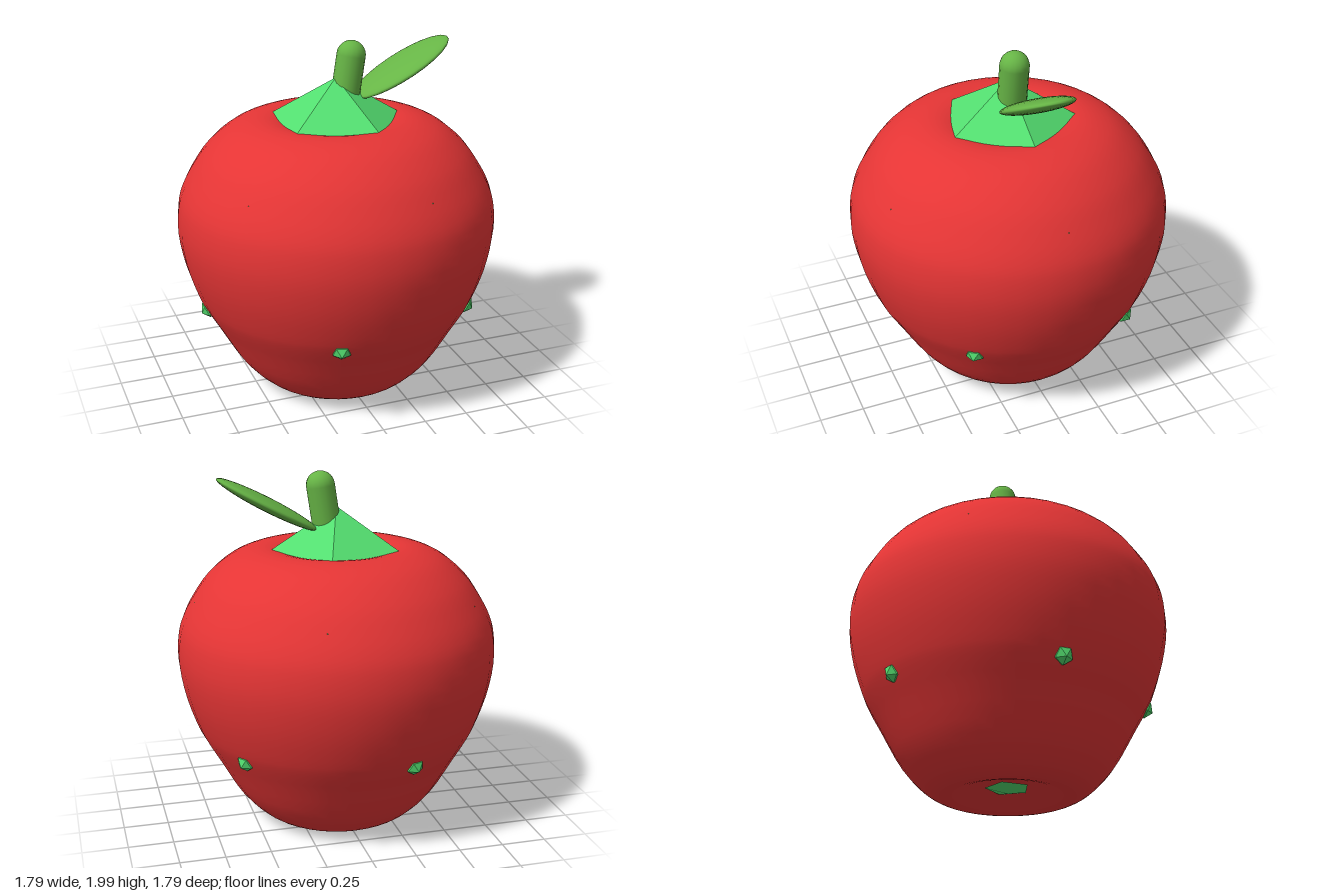
import * as THREE from 'three';

export function createModel() {
  const model = new THREE.Group();
  const material = (name, color, flatShading = false) => {
    const m = new THREE.MeshStandardMaterial({ color, flatShading });
    m.name = name;
    return m;
  };
  const red = material('fruit red', 0xe53535);
  const leafGreen = material('leaf green', 0x67b546);
  const brightGreen = material('bright green', 0x53de70, true);

  const add = (name, geometry, mat, x = 0, y = 0, z = 0) => {
    const mesh = new THREE.Mesh(geometry, mat);
    mesh.name = name;
    mesh.position.set(x, y, z);
    model.add(mesh);
    return mesh;
  };

  // Fruit body with a shallow dimple at each end
  const profile = new THREE.SplineCurve([
    [0, 0.085], [0.1, 0.075], [0.22, 0.04], [0.33, 0.01], [0.4, 0.022], [0.485, 0.08],
    [0.59, 0.2], [0.705, 0.4], [0.768, 0.51], [0.81, 0.6], [0.865, 0.77], [0.895, 0.95],
    [0.887, 1.1], [0.857, 1.2], [0.803, 1.3], [0.725, 1.41], [0.61, 1.51], [0.5, 1.56],
    [0.4, 1.577], [0.31, 1.565], [0.2, 1.525], [0.1, 1.49], [0, 1.48],
  ].map(([r, y]) => new THREE.Vector2(r, y)));
  const points = profile.getPoints(60);
  points.forEach((p) => { p.x = Math.max(p.x, 0); });
  add('fruitBody', new THREE.LatheGeometry(points, 40), red);

  // Five-sided cap, one corner towards +x
  const cap = add('cap', new THREE.ConeGeometry(0.45, 0.275, 5), brightGreen, 0, 1.6625, 0);
  cap.rotation.y = Math.PI / 2;

  // Leaning rounded stem
  const stem = add('stem', new THREE.CapsuleGeometry(0.08, 0.28, 8, 16), leafGreen, 0.068, 1.78, 0);
  stem.rotation.z = -0.15;

  // Flat oval leaf
  const leaf = add('leaf', new THREE.SphereGeometry(1, 24, 16), leafGreen, 0.385, 1.825, 0);
  leaf.scale.set(0.315, 0.038, 0.175);
  leaf.rotation.z = 0.5;

  // Seeds with a point along the skin's normal, in two staggered rings of five
  const seed = new THREE.IcosahedronGeometry(0.055, 0);
  seed.rotateX(Math.atan(2 / (1 + Math.sqrt(5))));
  const rings = [
    { name: 'upperSeed', r: 0.753, y: 1.28, offset: 0, tilt: -0.5 },
    { name: 'lowerSeed', r: 0.756, y: 0.53, offset: Math.PI / 5, tilt: 0.45 },
  ];
  for (const { name, r, y, offset, tilt } of rings) {
    for (let i = 0; i < 5; i++) {
      const a = offset + (i * Math.PI * 2) / 5;
      const mesh = add(name, seed, brightGreen, r * Math.cos(a), y, r * Math.sin(a));
      mesh.rotation.set(tilt, Math.PI / 2 - a, 0, 'YXZ');
    }
  }

  // Blossom end: a low five-sided point in the lower dimple
  const blossomShape = new THREE.ConeGeometry(0.125, 0.03, 5).rotateX(Math.PI);
  const blossom = add('blossomEnd', blossomShape, brightGreen, 0, 0.045, 0);
  blossom.rotation.y = -Math.PI / 2;

  return model;
}
